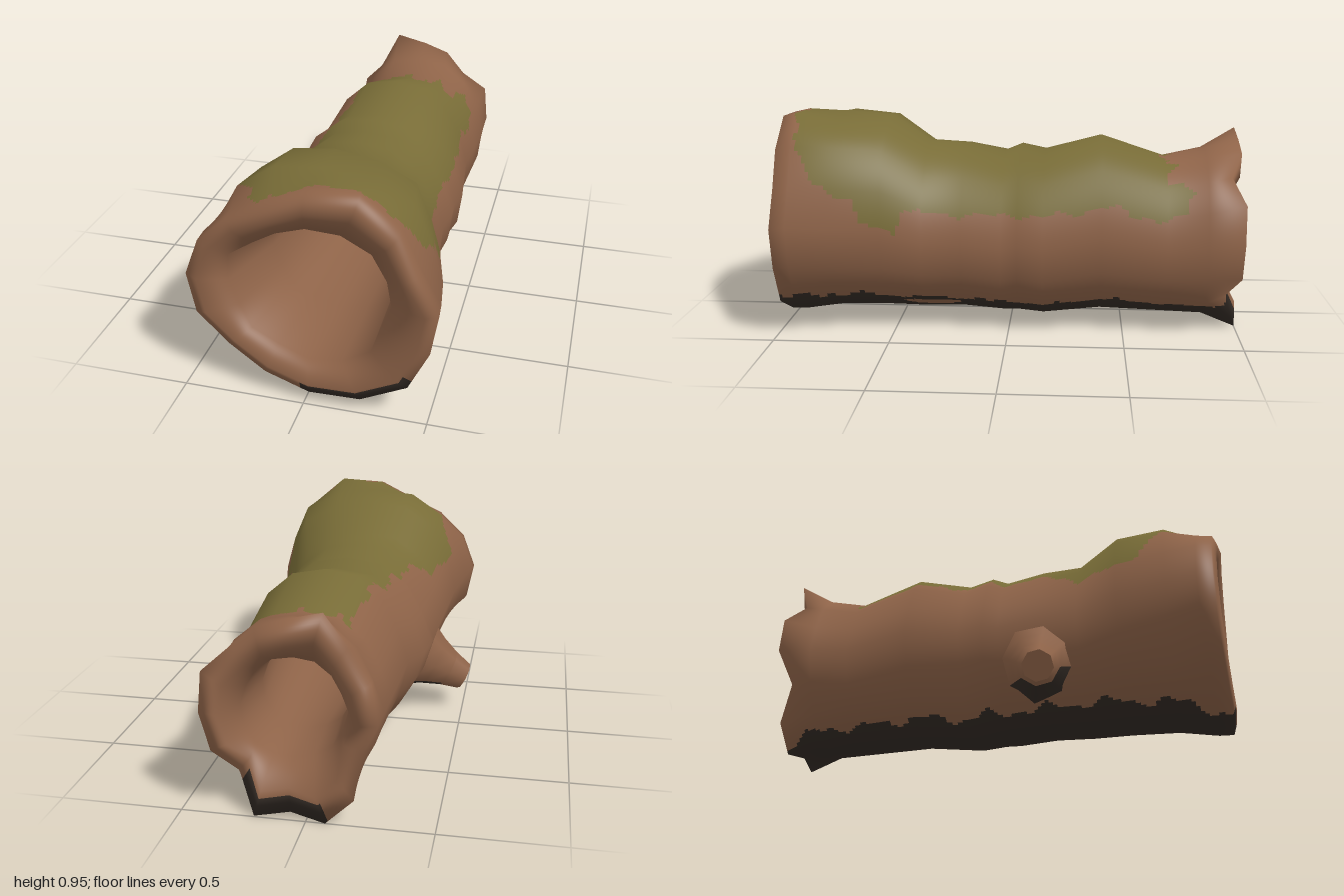
import * as THREE from 'three';

const SIDES = 16;   // corners around the log
const SUB = 10;     // fine cells per coarse cell, so the colour edges can be ragged

// radius factors by angle, starting at +x and going up
const BODY = [1, .96, .98, 1.01, 1, 1.02, .98, .94, 1, .97, 1, .98, 1, 1.03, 1.05, 1.03];
const MOUND = [1, .98, 1.07, 1.02, 1.01, 1.05, 1.03, .98, 1, .97, 1, .98, 1, 1.03, 1.05, 1.03];
const RIM = [1, .9, .98, 1.05, .95, .84, .88, .94, .99, 1, .93, .95, 1, 1.07, 1.1, 1.02];
const MOUTH = [.93, .95, 1.01, 1, .95, .88, .87, .98, .92, .87, .94, .9, .97, 1, 1, .88];
const TORN = [1, 1.03, .88, .89, .92, 1.08, .9, 1, 1, .87, 1.04, 1.07, .93, 1.06, .86, .95];
// depth of the notches in the broken end
const NOTCH = [0, 0, .05, 0, 0, 0, .06, 0, 0, .05, 0, 0, .02, 0, .06, 0];

// rings: z, left, right, bottom, top, shape
const OUTER = [
  [-1, -.28, .41, 0, .86, TORN],
  [-.85, -.28, .41, .05, .79, BODY],
  [-.68, -.28, .40, .055, .75, BODY],
  [-.4, -.31, .40, .06, .84, BODY],
  [-.15, -.35, .425, .035, .77, BODY],
  [-.04, -.37, .41, .04, .79, BODY],
  [.03, -.37, .41, .04, .76, BODY],
  [.2, -.38, .40, .05, .79, BODY],
  [.37, -.39, .42, .05, .80, BODY],
  [.54, -.42, .45, .055, .91, MOUND],
  [.75, -.455, .50, .06, .93, MOUND],
  [.92, -.485, .525, .055, .965, RIM],
  [.985, -.49, .53, .055, .95, RIM],
];
const INNER = [
  [1, -.44, .48, .10, .89, RIM],
  [.96, -.34, .37, .19, .80, MOUTH],
  [.6, -.27, .35, .20, .74, MOUTH],
  [0, -.2, .33, .21, .68, BODY],
  [-.6, -.12, .27, .21, .60, BODY],
  [-.85, -.14, .29, .20, .62, BODY],
  [-1, -.19, .33, .11, .73, TORN],
];
const RINGS = [...OUTER, ...INNER];

function ringPoint([z, left, right, bottom, top, shape], i) {
  const a = i / SIDES * Math.PI * 2, f = shape[i];
  const x = (left + right) / 2 + Math.cos(a) * f * (right - left) / 2;
  const y = (bottom + top) / 2 + Math.sin(a) * f * (top - bottom) / 2;
  if (shape === TORN) z += NOTCH[i];
  if (z > .9) z -= .09 * Math.max(0, -x);              // slanted front cut
  return [x, y, z];
}

// two triangles per cell of a grid that closes in both directions
function gridIndex(cols, rows, pick) {
  const index = [];
  for (let j = 0; j < rows; j++) for (let i = 0; i < cols; i++) {
    if (!pick(i, j)) continue;
    const i2 = (i + 1) % cols, j2 = (j + 1) % rows;
    const a = j * cols + i, b = j * cols + i2, c = j2 * cols + i2, d = j2 * cols + i;
    index.push(a, b, c, a, c, d);
  }
  return index;
}

// piecewise linear lookup in [position, value] pairs
function lookup(table, z) {
  for (let k = 1; k < table.length; k++) {
    const [z0, v0] = table[k - 1], [z1, v1] = table[k];
    if (z <= z1) return v0 + (v1 - v0) * Math.max(0, (z - z0) / (z1 - z0));
  }
  return table[table.length - 1][1];
}

// edges of the colour patches, in degrees around the log
const MOSS_RIGHT = [[-.8, 24], [-.6, 20], [0, 22], [.44, 18], [.47, 3], [.61, 3], [.65, 17], [.8, 27], [.88, 38], [.93, 58]];
const MOSS_LEFT = [[-.7, 122], [-.3, 123], [.1, 126], [.3, 140], [.47, 157], [.57, 159], [.66, 144], [.9, 117]];
const DAMP_LEFT = [[.4, 242], [.75, 250], [.95, 266]];
const DAMP_RIGHT = [[-.95, 309], [-.5, 314], [0, 315], [.33, 316], [.65, 316], [1, 319]];

function surfaceColour(deg, z, row) {
  const wobble = Math.sin(z * 23) + .7 * Math.sin(z * 51 + 1);
  const ripple = Math.sin(deg * .21) + .6 * Math.sin(deg * .47 + 2);
  const mossBack = -.7 - .02 * ripple - (deg < 50 ? .07 : 0);
  if (row < OUTER.length - 1 && z > mossBack && z < .91 + .012 * ripple
    && deg > lookup(MOSS_RIGHT, z) + 2 * wobble && deg < lookup(MOSS_LEFT, z) + 2.5 * wobble) return 'moss';
  const barePatch = ((z - .33) / .13) ** 2 + ((deg - 305) / 6) ** 2 < 1;
  const outside = row < OUTER.length - .15 || row > RINGS.length - .7;
  if (outside && deg > lookup(DAMP_LEFT, z) + 3 * wobble
    && deg < lookup(DAMP_RIGHT, z) + 1.5 * wobble && !barePatch) return 'damp';
  return 'bark';
}

function createLog(materials) {
  // coarse log wall, giving positions and smooth normals
  const coarse = new THREE.BufferGeometry();
  const points = RINGS.flatMap(r => Array.from({ length: SIDES }, (_, i) => ringPoint(r, i)));
  coarse.setAttribute('position', new THREE.Float32BufferAttribute(points.flat(), 3));
  coarse.setIndex(gridIndex(SIDES, RINGS.length, () => true));
  coarse.computeVertexNormals();

  // finer grid on the same facets
  const cols = SIDES * SUB, rows = RINGS.length * SUB;
  const refine = attribute => {
    const out = [];
    for (let j = 0; j < rows; j++) for (let i = 0; i < cols; i++) {
      const i0 = Math.floor(i / SUB), j0 = Math.floor(j / SUB), u = i / SUB - i0, v = j / SUB - j0;
      const i1 = (i0 + 1) % SIDES, j1 = (j0 + 1) % RINGS.length;
      for (let k = 0; k < 3; k++) {
        const at = (p, q) => attribute.getComponent(q * SIDES + p, k);
        out.push((at(i0, j0) * (1 - u) + at(i1, j0) * u) * (1 - v) + (at(i0, j1) * (1 - u) + at(i1, j1) * u) * v);
      }
    }
    return new THREE.Float32BufferAttribute(out, 3);
  };
  const position = refine(coarse.attributes.position);
  const normal = refine(coarse.attributes.normal);

  const log = new THREE.Group();
  log.name = 'hollowLog';
  for (const [colour, name] of [['bark', 'logWall'], ['moss', 'mossCover'], ['damp', 'dampUnderside']]) {
    const geometry = new THREE.BufferGeometry();
    geometry.setAttribute('position', position);
    geometry.setAttribute('normal', normal);
    geometry.setIndex(gridIndex(cols, rows, (i, j) =>
      surfaceColour((i + .5) / cols * 360, position.getZ(j * cols + i), (j + .5) / SUB) === colour));
    const mesh = new THREE.Mesh(geometry, materials[colour]);
    mesh.name = name;
    log.add(mesh);
  }
  return log;
}

// short broken branch on the lower side, flared where it meets the log
function createBranch(materials) {
  const root = new THREE.Vector3(-.25, .28, .19), tip = new THREE.Vector3(-.5, .15, .225);
  const direction = tip.clone().sub(root), length = direction.length();
  const profile = [[.19, 0], [.125, .4], [.09, .7], [.066, 1]].map(([r, t]) => new THREE.Vector2(r, t * length));
  const branch = new THREE.Group();
  branch.name = 'branchStub';
  const add = (name, geometry, material) => {
    const mesh = new THREE.Mesh(geometry, material);
    mesh.name = name;
    branch.add(mesh);
    return mesh;
  };
  const base = profile.slice(0, 3);
  add('branchBark', new THREE.LatheGeometry(base, 5, 0, Math.PI * 1.25), materials.bark);
  add('branchUnderside', new THREE.LatheGeometry(base, 3, Math.PI * 1.25, Math.PI * .75), materials.damp);
  add('branchTip', new THREE.LatheGeometry(profile.slice(2), 8), materials.bark);
  const end = add('branchEnd', new THREE.CircleGeometry(.066, 8), materials.bark);
  end.rotation.x = -Math.PI / 2;
  end.position.y = length;
  branch.position.copy(root);
  branch.quaternion.setFromUnitVectors(new THREE.Vector3(0, 1, 0), direction.normalize());
  return branch;
}

export function createModel() {
  const materials = {};
  for (const [name, color] of [['bark', 0x8e6348], ['moss', 0x786c37], ['damp', 0x332b25]]) {
    materials[name] = new THREE.MeshStandardMaterial({ color });
    materials[name].name = name;
  }
  const model = new THREE.Group();
  model.name = 'mossyHollowLog';
  model.add(createLog(materials), createBranch(materials));
  return model;
}
